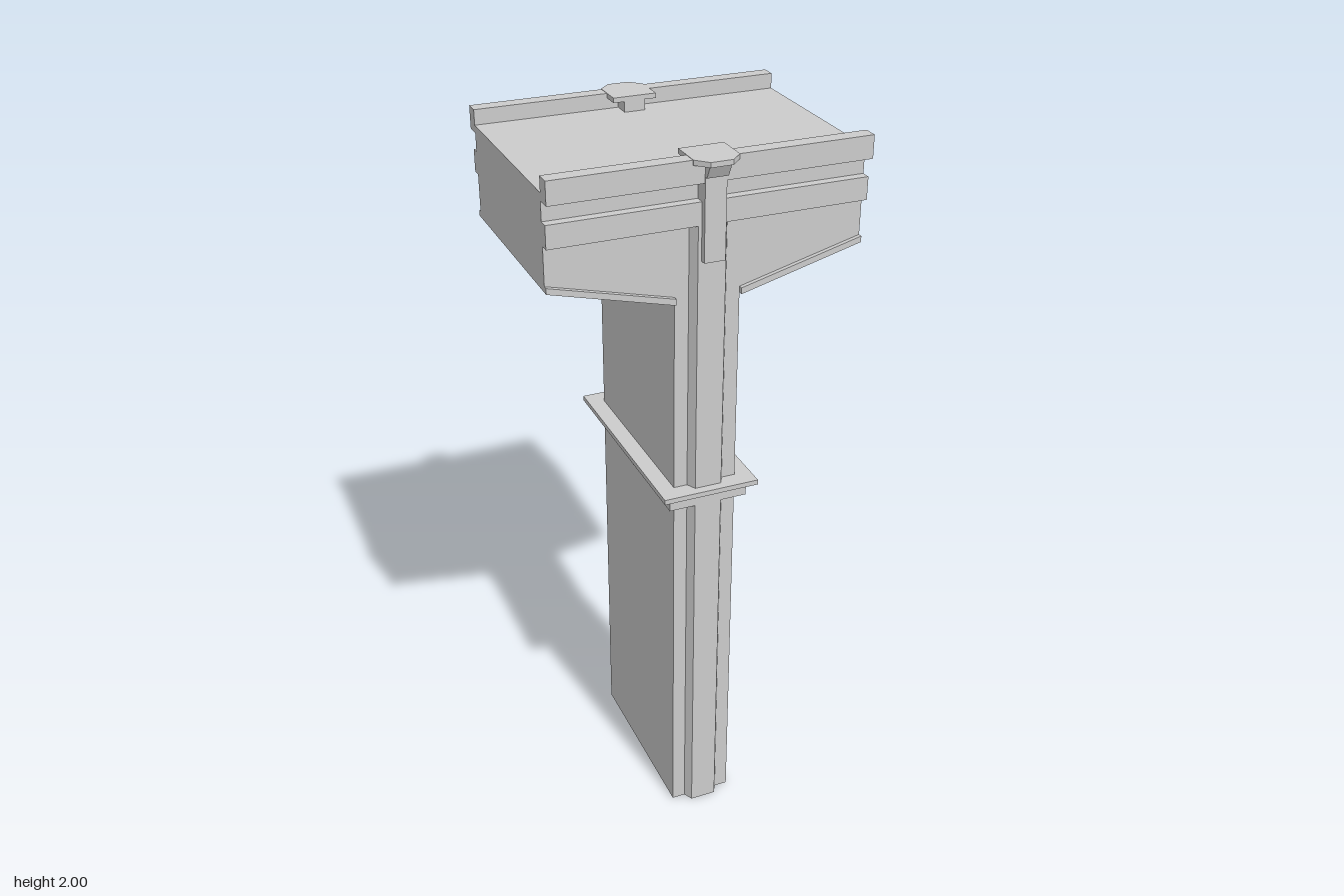
import * as THREE from 'three';

const material = new THREE.MeshStandardMaterial({ color: 0xcccccc, flatShading: true });

function addMesh(parent, name, geometry) {
  const mesh = new THREE.Mesh(geometry, material);
  mesh.name = name;
  parent.add(mesh);
  return mesh;
}

function box(parent, name, w, h, d, x, y, z) {
  addMesh(parent, name, new THREE.BoxGeometry(w, h, d)).position.set(x, y, z);
}

// Prism of a 2D outline, centred on its extrusion axis
function prism(points, depth) {
  const shape = new THREE.Shape(points.map(([a, b]) => new THREE.Vector2(a, b)));
  return new THREE.ExtrudeGeometry(shape, { depth, bevelEnabled: false }).translate(0, 0, -depth / 2);
}

// Closes a half outline by mirroring it across the vertical axis
const mirrored = (half) => [...half, ...half.map(([a, b]) => [-a, b]).reverse()];

// Prism standing upright from y0 to y1, outline given as [x, z]
function upright(points, y0, y1) {
  return prism(points.map(([x, z]) => [x, -z]), y1 - y0)
    .rotateX(-Math.PI / 2).translate(0, (y0 + y1) / 2, 0);
}

export function createModel() {
  const model = new THREE.Group();
  model.name = 'bridgePier';
  const halfLength = 0.417, halfColumn = 0.0875, web = 0.26;

  // Column shaft and its collar
  box(model, 'columnShaft', halfColumn * 2, 1.65, web * 2, 0, 0.825, 0);
  box(model, 'collarBand', 0.22, 0.04, 0.572, 0, 1.067, 0);
  box(model, 'collarPlate', 0.267, 0.014, 0.62, 0, 1.093, 0);

  // Deck with rails, recesses and ledges, run along x
  const deckSection = mirrored([
    [web, 1.83], [0.285, 1.83], [0.285, 1.89], [web, 1.89], [web, 1.94],
    [0.3, 1.94], [0.3, 2], [web, 2], [web, 1.96],
  ]);
  addMesh(model, 'deck', prism(deckSection, halfLength * 2).rotateY(Math.PI / 2));

  // Tapered haunch below the deck
  const haunch = mirrored([[halfColumn, 1.63], [halfLength, 1.715], [halfLength, 1.83]]);
  addMesh(model, 'haunch', prism(haunch, web * 2));

  // Sloping flanges along the bottom of the haunch
  for (const side of [1, -1]) {
    const flange = [[halfColumn, 1.628], [halfLength, 1.714], [halfLength, 1.73], [halfColumn, 1.645]];
    const geometry = prism(flange, 0.544);
    if (side < 0) geometry.rotateY(Math.PI);
    addMesh(model, side > 0 ? 'leftFlange' : 'rightFlange', geometry);
  }

  // Pilaster, bracket and post cap on each face
  for (const face of ['front', 'back']) {
    const group = new THREE.Group();
    group.name = face + 'Trim';
    if (face === 'back') group.rotation.y = Math.PI;
    model.add(group);

    const pilaster = [[0.05, 0.25], [0.05, web], [0.037, 0.285], [-0.037, 0.285], [-0.05, web], [-0.05, 0.25]];
    addMesh(group, 'pilaster', upright(pilaster.reverse(), 0, 1.83));
    box(group, 'bracket', 0.056, 0.25, 0.052, 0, 1.865, 0.276);

    // Corbel with a sloping outer face carries the cap plate
    const corbel = [[-0.213, 1.955], [-0.31, 1.955], [-0.328, 1.99], [-0.213, 1.99]];
    addMesh(group, 'corbel', prism(corbel, 0.056).rotateY(Math.PI / 2));
    const cap = [[0.059, 0.212], [0.059, 0.302], [0.029, 0.333], [-0.029, 0.333], [-0.059, 0.302], [-0.059, 0.212]];
    addMesh(group, 'capPlate', upright(cap, 1.988, 2.001));
  }
  return model;
}
